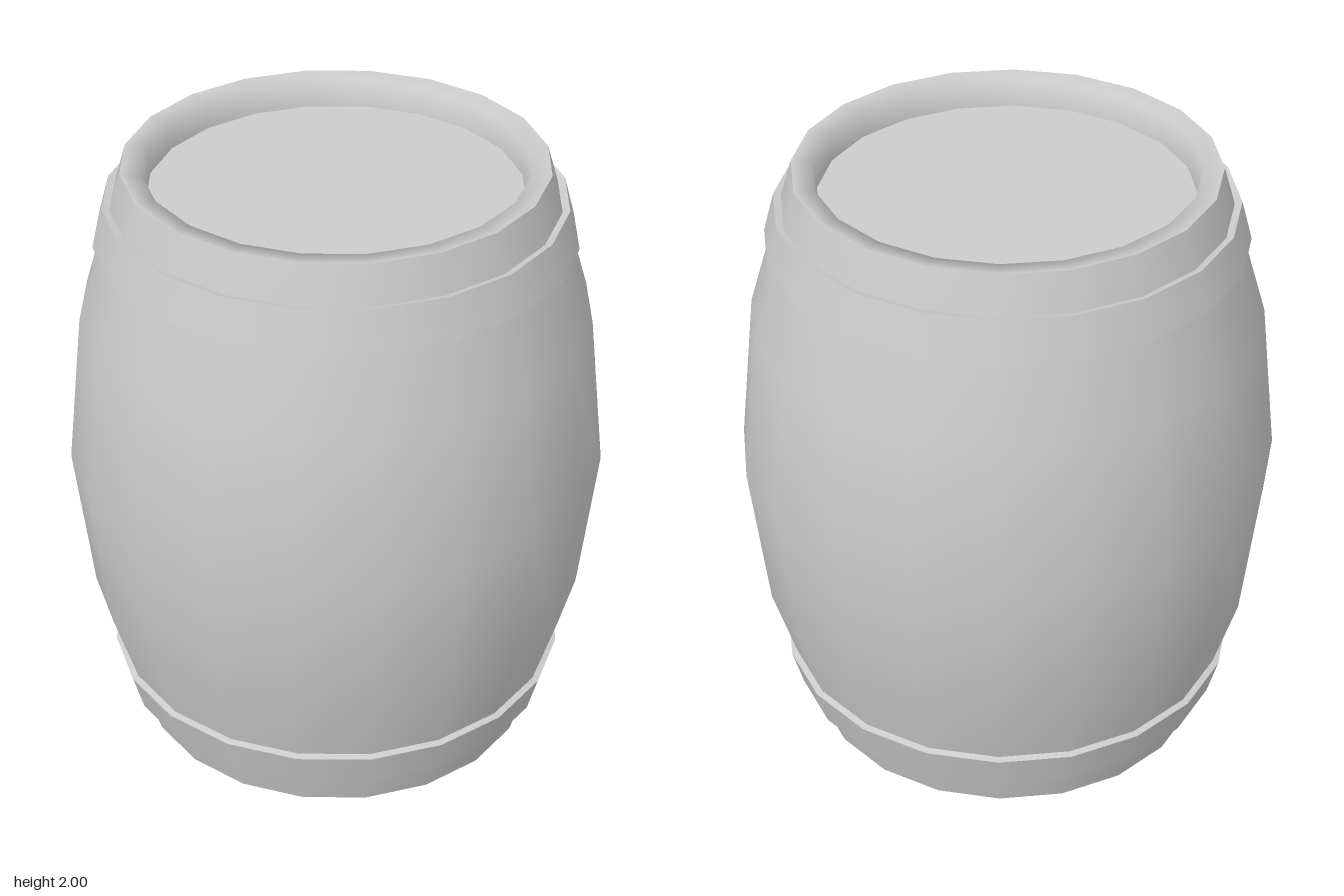
import * as THREE from 'three';

const SIDES = 20;
const material = new THREE.MeshStandardMaterial({ color: 0xcccccc });

// Smooth surface of revolution from [radius, height] pairs
function turned(name, profile) {
  const points = profile.map(([r, y]) => new THREE.Vector2(r, y));
  const mesh = new THREE.Mesh(new THREE.LatheGeometry(points, SIDES), material);
  mesh.name = name;
  return mesh;
}

// One barrel end, heights measured from the middle of the barrel
function createEnd(name) {
  const end = new THREE.Group();
  end.name = name;

  // Rim softening into the inner wall, and the recessed head
  end.add(turned('rim', [[0.665, 1], [0.6, 0.996], [0.588, 0.907]]));
  end.add(turned('head', [[0.588, 0.907], [0, 0.907]]));

  // Hoop: underside, outer band and upper ledge with sharp edges between them
  const hoop = new THREE.Group();
  hoop.name = 'hoop';
  const section = [[0.738, 0.75], [0.76, 0.757], [0.725, 0.885], [0.7, 0.878]];
  ['hoopUnderside', 'hoopBand', 'hoopLedge'].forEach((part, i) => {
    hoop.add(turned(part, [section[i], section[i + 1]]));
  });
  end.add(hoop);
  return end;
}

export function createModel() {
  const barrel = new THREE.Group();
  barrel.name = 'barrel';

  // Bulging staves
  const staves = turned('staves', [
    [0.665, -1], [0.815, -0.5], [0.87, 0], [0.815, 0.5], [0.665, 1],
  ]);
  const top = createEnd('topEnd');
  const bottom = createEnd('bottomEnd');
  bottom.rotation.x = Math.PI;

  for (const part of [staves, top, bottom]) {
    part.position.y = 1;
    barrel.add(part);
  }
  return barrel;
}
